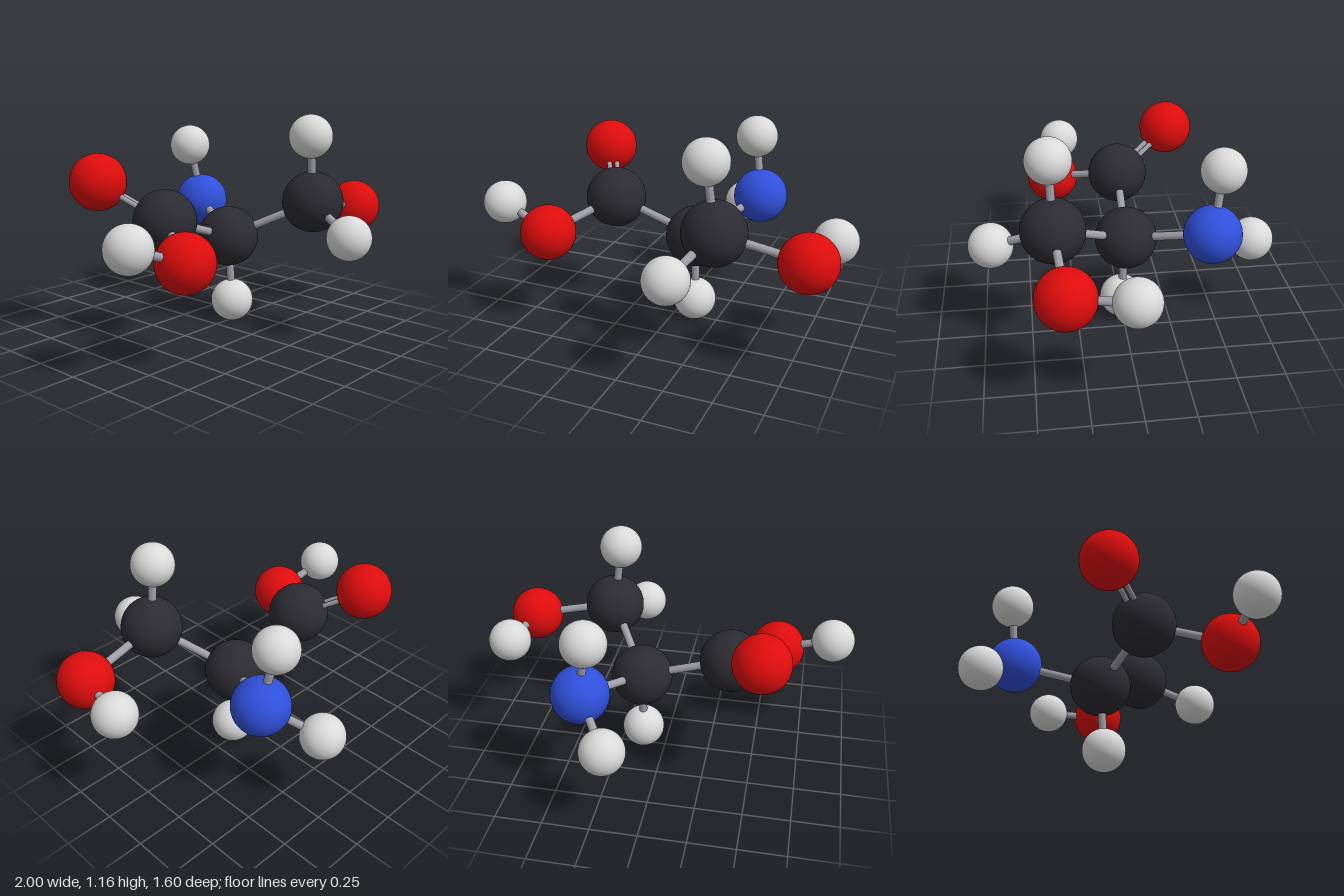
import * as THREE from 'three';

const material = (name, color) => {
  const m = new THREE.MeshStandardMaterial({ color });
  m.name = name;
  return m;
};

export function createModel() {
  const group = new THREE.Group();
  group.name = 'molecule';
  const bondMaterial = material('bond grey', 0xa09fa8);

  // One sphere per element: radius and colour
  const element = (radius, name, color) => ({
    geometry: new THREE.SphereGeometry(radius, 48, 32),
    material: material(name, color),
  });
  const carbon = element(0.164, 'carbon charcoal', 0x2b2b31);
  const oxygen = element(0.147, 'oxygen red', 0xde0c0c);
  const nitrogen = element(0.15, 'nitrogen blue', 0x2f50db);
  const hydrogen = element(0.116, 'hydrogen white', 0xdadada);

  // Atom centres
  const atoms = {
    acidCarbon: [carbon, -0.36, 0.634, -0.03],
    centreCarbon: [carbon, 0.12, 0.48, -0.02],
    sideCarbon: [carbon, 0.36, 0.686, 0.372],
    doubleOxygen: [oxygen, -0.537, 0.826, -0.333],
    acidOxygen: [oxygen, -0.588, 0.524, 0.332],
    sideOxygen: [oxygen, 0.82, 0.595, 0.34],
    nitrogen: [nitrogen, 0.35, 0.604, -0.433],
    acidHydrogen: [hydrogen, -0.884, 0.634, 0.273],
    centreHydrogen: [hydrogen, 0.123, 0.118, 0.005],
    upperHydrogen: [hydrogen, 0.317, 1.042, 0.38],
    frontHydrogen: [hydrogen, 0.239, 0.553, 0.685],
    sideHydrogen: [hydrogen, 0.88, 0.59, 0.023],
    amineUpperHydrogen: [hydrogen, 0.302, 0.933, -0.482],
    amineBackHydrogen: [hydrogen, 0.179, 0.462, -0.686],
  };
  const centre = (name) => new THREE.Vector3(...atoms[name].slice(1));

  for (const [name, [kind]] of Object.entries(atoms)) {
    const mesh = new THREE.Mesh(kind.geometry, kind.material);
    mesh.name = name;
    mesh.position.copy(centre(name));
    group.add(mesh);
  }

  // Rods run between atom centres; a double bond is two thin parallel rods
  const up = new THREE.Vector3(0, 1, 0);
  function addBond(from, to, radius = 0.022, shift = 0) {
    const a = centre(from);
    const b = centre(to);
    const direction = b.clone().sub(a);
    const sideways = direction.clone().cross(up).normalize();
    const rod = new THREE.Mesh(
      new THREE.CylinderGeometry(radius, radius, direction.length(), 20),
      bondMaterial
    );
    rod.name = `bond ${from} to ${to}`;
    rod.position.copy(a).add(b).multiplyScalar(0.5).addScaledVector(sideways, shift);
    rod.quaternion.setFromUnitVectors(up, direction.normalize());
    group.add(rod);
  }

  const singleBonds = [
    ['acidCarbon', 'centreCarbon'],
    ['acidCarbon', 'acidOxygen'],
    ['acidOxygen', 'acidHydrogen'],
    ['centreCarbon', 'sideCarbon'],
    ['centreCarbon', 'nitrogen'],
    ['centreCarbon', 'centreHydrogen'],
    ['sideCarbon', 'sideOxygen'],
    ['sideCarbon', 'upperHydrogen'],
    ['sideCarbon', 'frontHydrogen'],
    ['sideOxygen', 'sideHydrogen'],
    ['nitrogen', 'amineUpperHydrogen'],
    ['nitrogen', 'amineBackHydrogen'],
  ];
  for (const [from, to] of singleBonds) addBond(from, to);
  for (const side of [-1, 1]) addBond('acidCarbon', 'doubleOxygen', 0.014, side * 0.021);

  return group;
}
